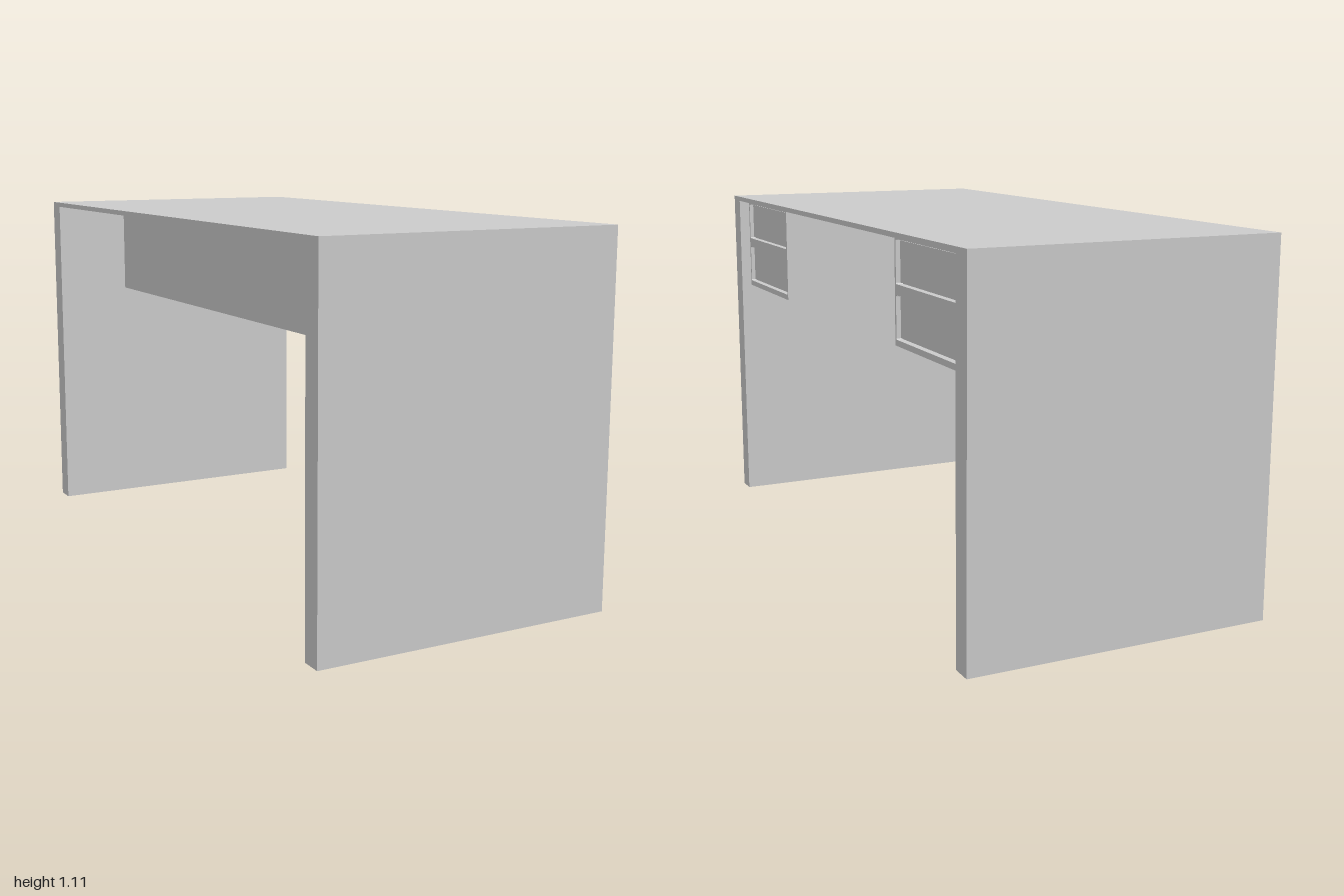
import * as THREE from 'three';

const HEIGHT = 1.105, HALF_X = 0.468, LEG = 0.065, TOP = 0.015;
const UNDER = HEIGHT - TOP, LOW = 0.782;

export function createModel() {
  const desk = new THREE.Group();
  desk.name = 'desk';
  const material = new THREE.MeshStandardMaterial({ color: 0xcccccc });

  const add = (parent, name, geometry) => {
    const mesh = new THREE.Mesh(geometry, material);
    mesh.name = name;
    parent.add(mesh);
    return mesh;
  };
  // Box given by its extents along each axis
  const box = (parent, name, [x0, x1], [y0, y1], [z0, z1]) => {
    const mesh = add(parent, name, new THREE.BoxGeometry(x1 - x0, y1 - y0, z1 - z0));
    mesh.position.set((x0 + x1) / 2, (y0 + y1) / 2, (z0 + z1) / 2);
    return mesh;
  };
  // Rectangle outline with small rounded corners
  const roundedRect = (path, w, h, cy, r) => {
    const x = w / 2, y0 = cy - h / 2, y1 = cy + h / 2;
    path.moveTo(-x + r, y0).lineTo(x - r, y0).quadraticCurveTo(x, y0, x, y0 + r);
    path.lineTo(x, y1 - r).quadraticCurveTo(x, y1, x - r, y1);
    path.lineTo(-x + r, y1).quadraticCurveTo(-x, y1, -x, y1 - r);
    path.lineTo(-x, y0 + r).quadraticCurveTo(-x, y0, -x + r, y0);
    return path;
  };
  // Extrude an upright shape so that it faces +x
  const facingX = (shape, depth) =>
    new THREE.ExtrudeGeometry(shape, { depth, bevelEnabled: false, curveSegments: 3 }).rotateY(Math.PI / 2);

  // Thin top between full-height slab legs
  const inner = 1 - LEG;
  box(desk, 'tabletop', [-HALF_X, HALF_X], [UNDER, HEIGHT], [-inner, inner]);
  for (const [name, s] of [['frontLeg', 1], ['backLeg', -1]]) {
    box(desk, name, [-HALF_X, HALF_X], [0, HEIGHT], [s * (1 - LEG / 2) - LEG / 2, s * (1 - LEG / 2) + LEG / 2]);
  }

  // Hanging rear panel with a shallow tray ledge along its bottom
  box(desk, 'rearPanel', [-0.22, -0.205], [LOW, UNDER], [-inner, inner]);
  box(desk, 'trayLedge', [-0.205, -0.13], [LOW, LOW + 0.015], [-inner, inner]);

  // Two drawer units hung under the top, drawer fronts inset in a frame
  const W = 0.434, H = UNDER - LOW, FRONT = 0.44, BACK = -0.11, INSET = 0.02;
  const drawerY = [1.018, 0.862], drawerW = 0.418, drawerH = 0.125;
  for (const [name, s] of [['frontDrawerUnit', 1], ['backDrawerUnit', -1]]) {
    const unit = new THREE.Group();
    unit.name = name;
    unit.position.z = s * 0.695;
    desk.add(unit);

    box(unit, 'drawerCabinet', [BACK, FRONT - INSET], [LOW, UNDER], [-W / 2, W / 2]);

    const frame = roundedRect(new THREE.Shape(), W, H, (LOW + UNDER) / 2, 0);
    for (const y of drawerY) frame.holes.push(roundedRect(new THREE.Path(), drawerW, drawerH, y, 0.004));
    add(unit, 'drawerFrame', facingX(frame, INSET)).position.x = FRONT - INSET;

    for (const y of drawerY) {
      const front = roundedRect(new THREE.Shape(), drawerW - 0.008, drawerH - 0.008, y, 0.004);
      add(unit, 'drawerFront', facingX(front, 0.008)).position.x = FRONT - INSET;
    }
  }
  return desk;
}
